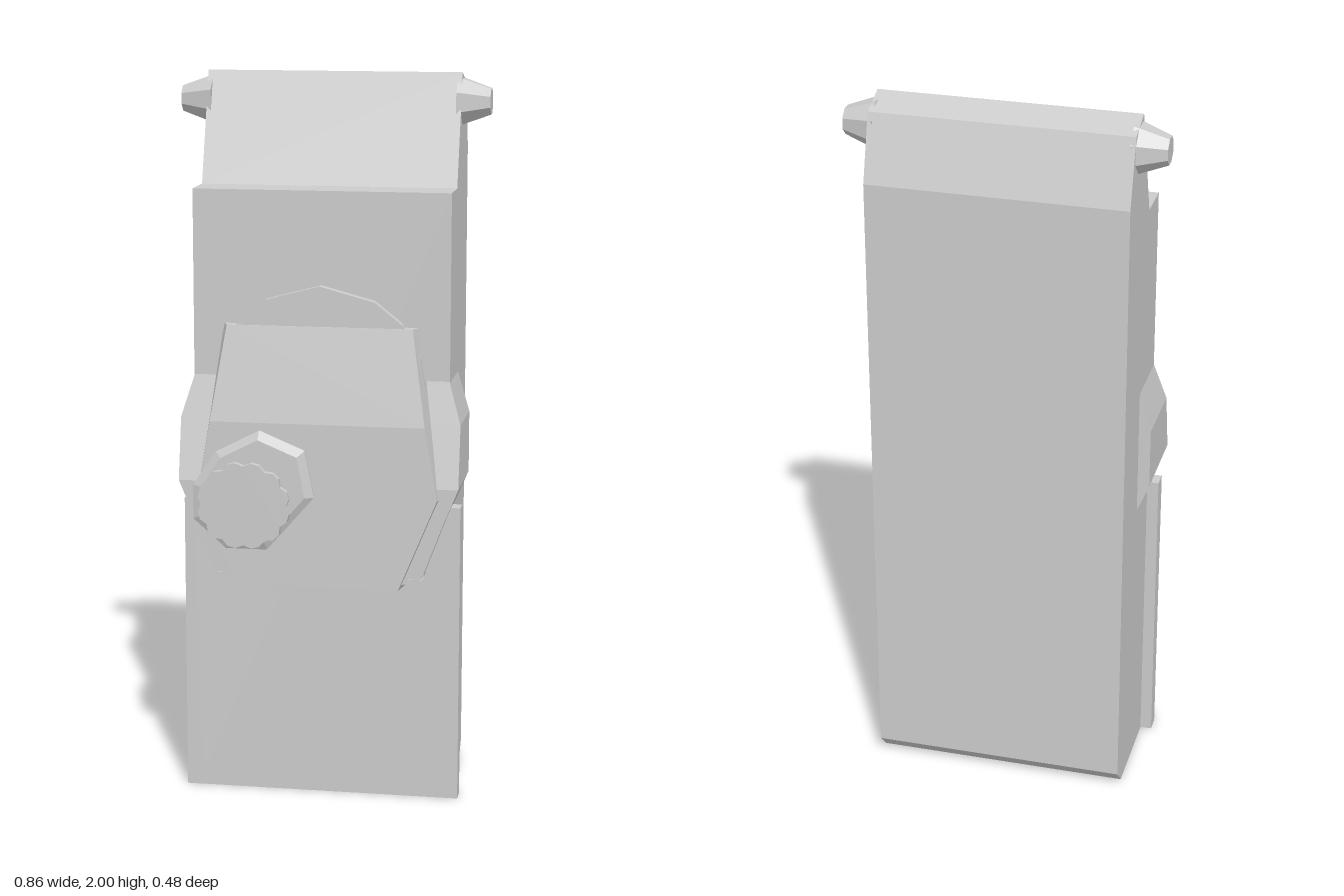
import * as THREE from 'three';

const material = new THREE.MeshStandardMaterial({ color: 0xcccccc, flatShading: true });

function addMesh(parent, name, geometry) {
  const mesh = new THREE.Mesh(geometry, material);
  mesh.name = name;
  parent.add(mesh);
  return mesh;
}

// Joins rings of equal length; each ring runs counter-clockwise seen from the last one's side
function loft(rings) {
  const pos = [];
  const tri = (a, b, c) => pos.push(...a, ...b, ...c);
  const n = rings[0].length;
  for (let r = 0; r < rings.length - 1; r++) {
    for (let i = 0; i < n; i++) {
      const j = (i + 1) % n;
      const [p, q] = [rings[r], rings[r + 1]];
      tri(p[i], p[j], q[j]);
      tri(p[i], q[j], q[i]);
    }
  }
  const first = rings[0], last = rings[rings.length - 1];
  for (let i = 1; i < n - 1; i++) {
    tri(first[0], first[i + 1], first[i]);
    tri(last[0], last[i], last[i + 1]);
  }
  const g = new THREE.BufferGeometry();
  g.setAttribute('position', new THREE.Float32BufferAttribute(pos, 3));
  g.computeVertexNormals();
  return g;
}

function extrude(points, depth) {
  const shape = new THREE.Shape(points.map(([x, y]) => new THREE.Vector2(x, y)));
  return new THREE.ExtrudeGeometry(shape, { depth, bevelEnabled: false });
}

export function createModel() {
  const model = new THREE.Group();
  model.name = 'caseWithClasp';

  // Body: side profile (z, y) extruded across the width
  const profile = [
    [0.12, 0], [0.12, 1.695], [0, 1.695], [-0.1, 2], [-0.187, 1.97],
    [-0.242, 1.79], [-0.242, 0.05], [-0.195, 0],
  ];
  addMesh(model, 'body', extrude(profile, 0.706).translate(0, 0, -0.353).rotateY(-Math.PI / 2));

  // Side rails and tapered hinge pins
  for (const side of [1, -1]) {
    const rail = addMesh(model, side > 0 ? 'leftRail' : 'rightRail', new THREE.BoxGeometry(0.045, 0.835, 0.046));
    rail.position.set(side * 0.3625, 0.4175, 0.097);

    const pin = addMesh(model, side > 0 ? 'leftHingePin' : 'rightHingePin',
      new THREE.CylinderGeometry(0.038, 0.072, 0.09, 8).rotateY(Math.PI / 8));
    pin.rotation.z = -side * Math.PI / 2;
    pin.position.set(side * 0.385, 1.92, -0.13);
  }

  // Wrap-around band: rectangles [y, half width, front z] stacked upwards
  const band = [
    [0.64, 0.285, 0.183], [0.815, 0.351, 0.184], [0.9, 0.386, 0.185],
    [1.07, 0.386, 0.147], [1.185, 0.352, 0.121],
  ].map(([y, w, zf]) => [[w, y, zf], [w, y, -0.063], [-w, y, -0.063], [-w, y, zf]]);
  addMesh(model, 'claspBand', loft(band));

  // Backing discs: rounded plate showing above and below the front plate
  const half = [[0, 0.587], [0.13, 0.6], [0.22, 0.625], [0.29, 0.645], [0.3, 1.1], [0.275, 1.25], [0.225, 1.34], [0.15, 1.4], [0, 1.44]];
  const mirror = half.slice(1, -1).reverse().map(([x, y]) => [-x, y]);
  addMesh(model, 'backingPlate', extrude([...half, ...mirror], 0.04).translate(0, 0, 0.107));
  const lower = half.slice(0, 4);
  const lowerMirror = lower.slice(1).reverse().map(([x, y]) => [-x, y]);
  addMesh(model, 'backingPlateFoot', extrude([...lower, ...lowerMirror], 0.075).translate(0, 0, 0.11));

  // Front plate, bent back above y = 1.07, with slightly flared sides
  const plate = [
    [0.295, 1.07, 0.198], [0.255, 1.33, 0.152], [-0.255, 1.33, 0.152], [-0.295, 1.07, 0.198],
    [-0.33, 0.87, 0.198], [-0.225, 0.615, 0.198], [0.225, 0.615, 0.198], [0.33, 0.87, 0.198],
  ];
  const plateBack = plate.map(([x, y]) => [x * 1.06, y, 0.11]);
  addMesh(model, 'frontPlate', loft([plateBack, plate]));

  // Faceted knob base
  const knob = new THREE.Group();
  knob.name = 'knob';
  model.add(knob);
  const outline = [
    [-0.005, 0.87], [-0.03, 1.0], [-0.155, 1.052], [-0.275, 0.99],
    [-0.34, 0.895], [-0.34, 0.8], [-0.25, 0.72], [-0.135, 0.72],
  ];
  const ring = (s, z) => outline.map(([x, y]) => [-0.175 + (x + 0.175) * s, 0.875 + (y - 0.875) * s, z]);
  addMesh(knob, 'knobBase', loft([ring(0.97, 0.18), ring(1, 0.212), ring(0.86, 0.223)]));

  // Notched knob cap
  const rim = [];
  for (let i = 0; i < 36; i++) {
    const a = (i / 36) * Math.PI * 2;
    const r = i % 3 === 0 ? 0.117 : 0.128;
    rim.push([-0.195 + r * Math.cos(a), 0.847 + 0.94 * r * Math.sin(a)]);
  }
  addMesh(knob, 'knobCap', extrude(rim, 0.042).translate(0, 0, 0.2));

  return model;
}
